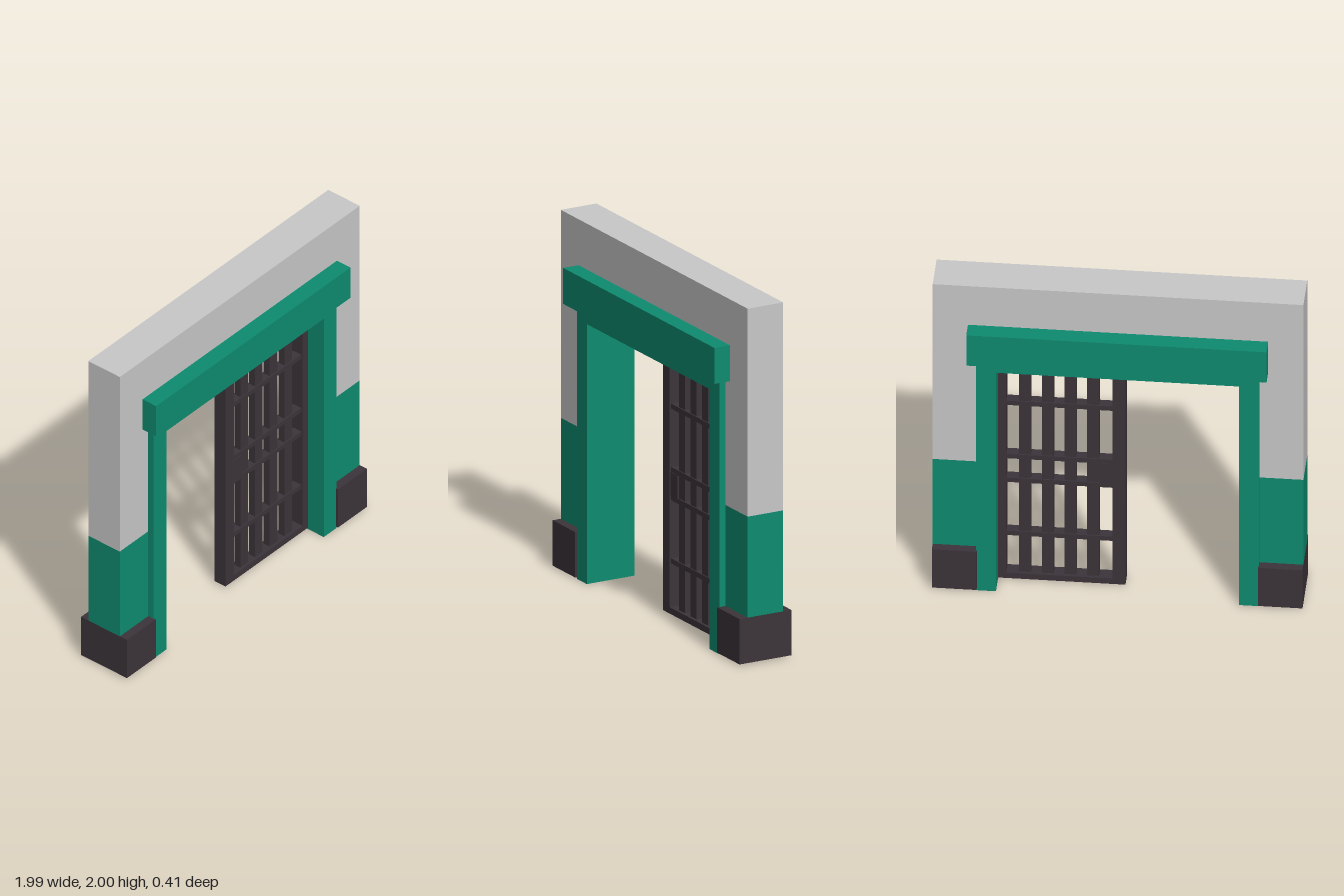
import * as THREE from 'three';

const mat = (name, color) => Object.assign(new THREE.MeshStandardMaterial({ color }), { name });

export function createModel() {
  const plaster = mat('pale grey plaster', 0xc9c9c9);
  const green = mat('green paint', 0x0e8c70);
  const iron = mat('dark iron', 0x3c343a);
  const root = new THREE.Group();
  root.name = 'gateway';

  // Box given by its extents in x and y, and half its depth, centred on z = 0
  function box(parent, name, material, x0, x1, y0, y1, halfZ) {
    const mesh = new THREE.Mesh(new THREE.BoxGeometry(x1 - x0, y1 - y0, halfZ * 2), material);
    mesh.position.set((x0 + x1) / 2, (y0 + y1) / 2, 0);
    mesh.name = name;
    parent.add(mesh);
  }

  // Upside-down U: two legs joined by a header
  function portal(name, material, outer, inner, bottom, soffit, top, halfZ) {
    const shape = new THREE.Shape([
      [-outer, bottom], [-inner, bottom], [-inner, soffit], [inner, soffit],
      [inner, bottom], [outer, bottom], [outer, top], [-outer, top],
    ].map(([x, y]) => new THREE.Vector2(x, y)));
    const geometry = new THREE.ExtrudeGeometry(shape, { depth: halfZ * 2, bevelEnabled: false });
    geometry.translate(0, 0, -halfZ);
    const mesh = new THREE.Mesh(geometry, material);
    mesh.name = name;
    root.add(mesh);
  }

  // Wall, door surround and lintel
  portal('upperWall', plaster, 0.995, 0.75, 0.832, 1.53, 2, 0.11);
  portal('doorSurround', green, 0.759, 0.652, 0, 1.46, 1.56, 0.148);
  box(root, 'lintel', green, -0.806, 0.806, 1.54, 1.742, 0.205);

  // Painted lower wall and plinth on each side
  for (const [side, s] of [['left', 1], ['right', -1]]) {
    const span = [s * 0.755, s * 0.995].sort((a, b) => a - b);
    box(root, side + 'LowerWall', green, ...span, 0.265, 0.832, 0.11);
    box(root, side + 'Plinth', iron, ...span, 0.01, 0.265, 0.16);
  }

  // Barred gate on the left half of the opening
  const gate = new THREE.Group();
  gate.name = 'gate';
  root.add(gate);
  box(gate, 'freeStile', iron, -0.033, 0.037, 0.01, 1.458, 0.038);
  box(gate, 'hingeStile', iron, 0.608, 0.68, 0.01, 1.458, 0.038);
  box(gate, 'bottomRail', iron, 0.037, 0.608, 0.01, 0.046, 0.038);
  box(gate, 'topRail', iron, 0.037, 0.608, 1.42, 1.458, 0.038);
  for (let i = 0; i < 4; i++) {
    const x = 0.142 + i * 0.122;
    box(gate, 'verticalBar', iron, x - 0.032, x + 0.032, 0.046, 1.42, 0.021);
  }
  for (const y of [0.304, 0.659, 0.817, 1.173]) {
    box(gate, 'crossBar', iron, 0.037, 0.608, y - 0.014, y + 0.014, 0.028);
  }
  box(gate, 'lockBox', iron, 0.037, 0.111, 0.67, 0.804, 0.031);

  return root;
}
